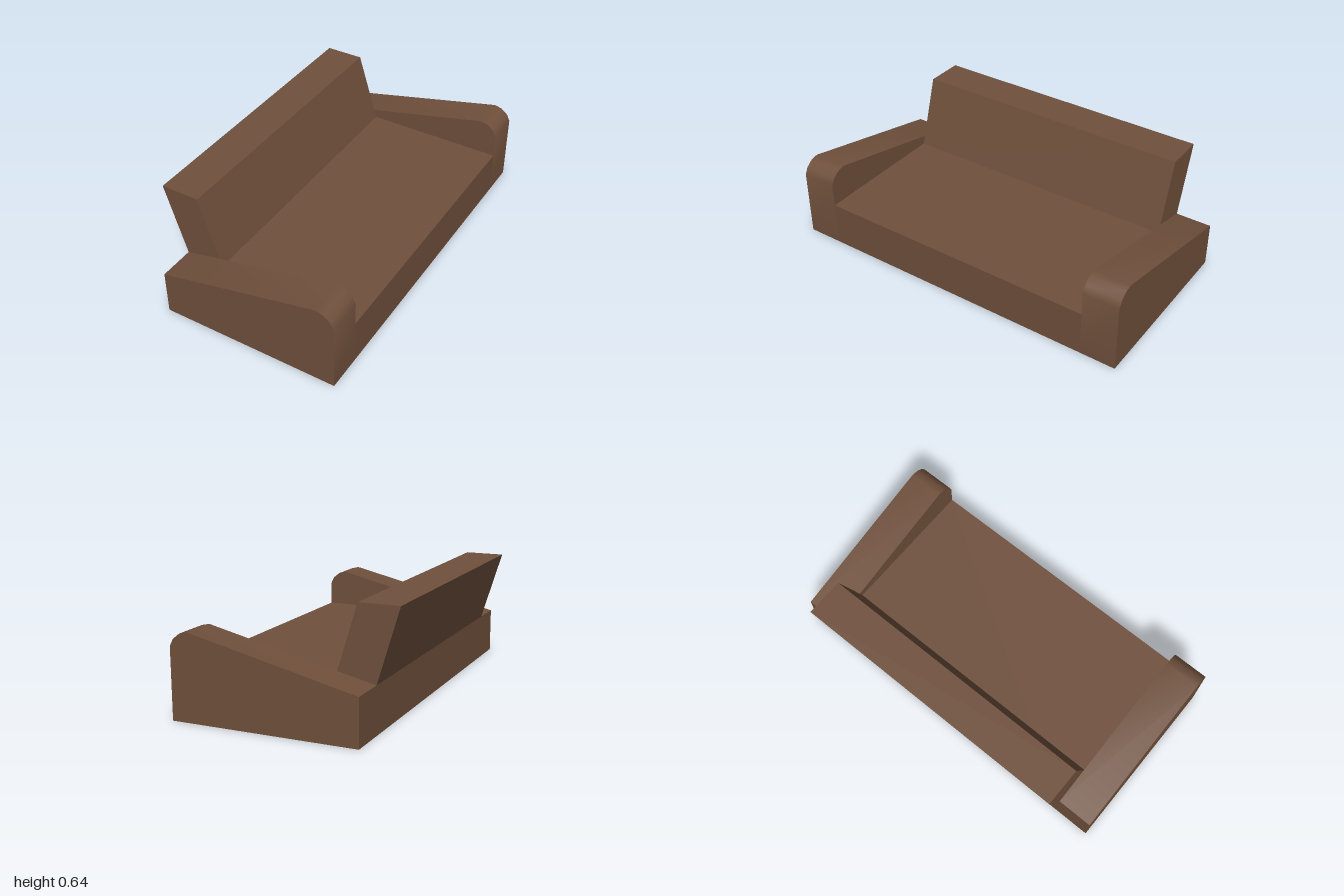
import * as THREE from 'three';
import { toCreasedNormals } from 'three/addons/utils/BufferGeometryUtils.js';

const ARM_INNER = 0.8;
const ARM_OUTER = 1;

// Extrudes an x-y profile along z between two planes, smoothing shallow edges
function extrudeProfile(points, zStart, zEnd) {
  const shape = new THREE.Shape(points.map(([x, y]) => new THREE.Vector2(x, y)));
  const geometry = new THREE.ExtrudeGeometry(shape, { depth: zEnd - zStart, bevelEnabled: false });
  geometry.translate(0, 0, zStart);
  return toCreasedNormals(geometry, 0.6);
}

export function createModel() {
  const sofa = new THREE.Group();
  sofa.name = 'sofa';

  const upholstery = new THREE.MeshStandardMaterial({ color: 0x70503c });
  upholstery.name = 'brown upholstery';

  const add = (name, geometry) => {
    const mesh = new THREE.Mesh(geometry, upholstery);
    mesh.name = name;
    sofa.add(mesh);
  };

  // Solid seat block between the arms, open side towards +x
  const seat = new THREE.BoxGeometry(1.007, 0.25, 2 * ARM_INNER);
  seat.translate(0.0585, 0.125, 0);
  add('seat', seat);

  // Slanted backrest
  const backProfile = [[-0.445, 0.25], [-0.228, 0.25], [-0.348, 0.638], [-0.564, 0.638]];
  add('backrest', extrudeProfile(backProfile, -ARM_INNER, ARM_INNER));

  // Arms rising towards a rounded front corner
  const armProfile = [
    [-0.445, 0], [0.562, 0], [0.562, 0.38], [0.543, 0.418],
    [0.505, 0.448], [0.462, 0.458], [-0.445, 0.25],
  ];
  add('frontArm', extrudeProfile(armProfile, ARM_INNER, ARM_OUTER));
  add('rearArm', extrudeProfile(armProfile, -ARM_OUTER, -ARM_INNER));

  return sofa;
}
